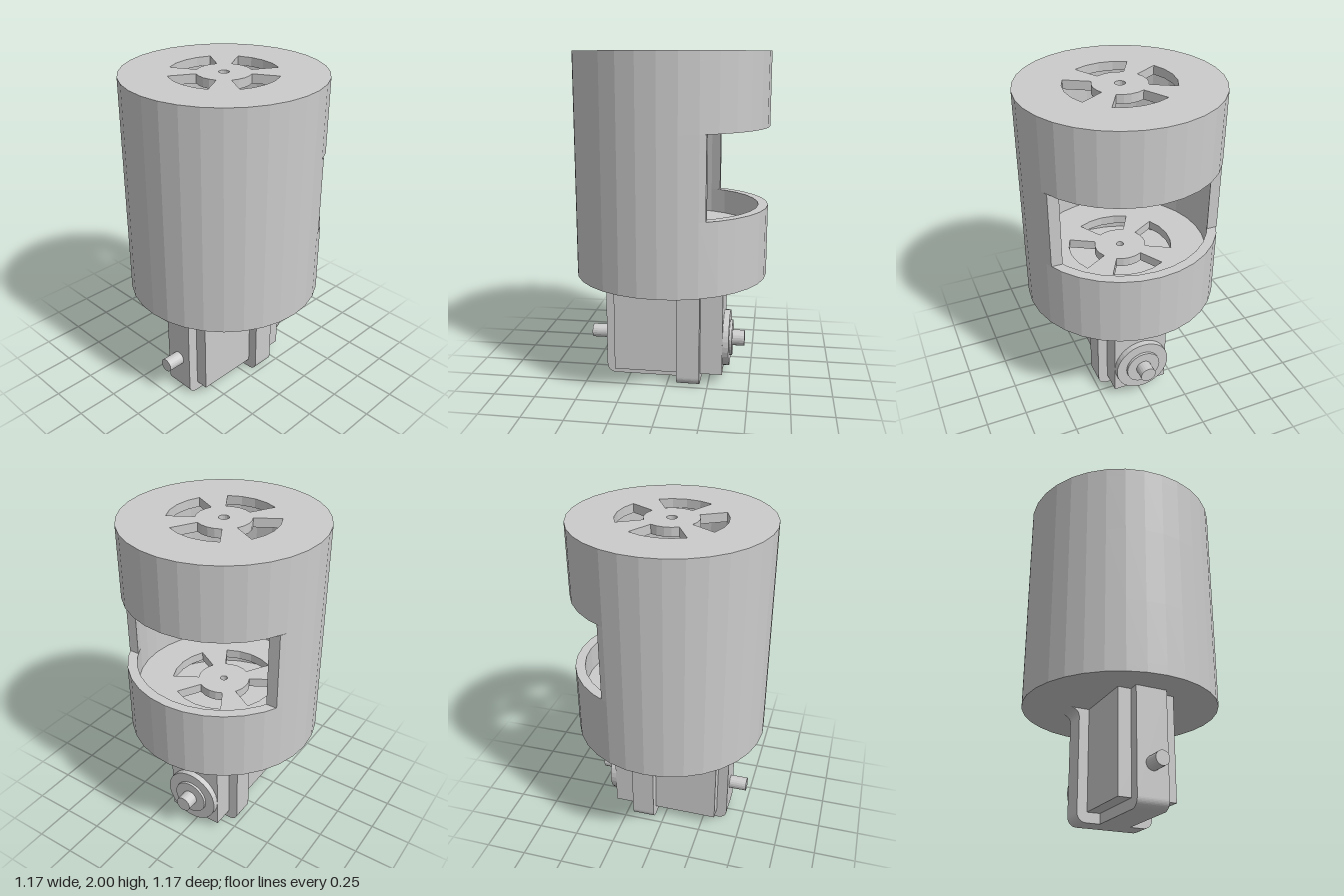
import * as THREE from 'three';

const R = 0.583, RI = 0.525, SIDES = 32;
const material = new THREE.MeshStandardMaterial({ color: 0xcccccc, flatShading: true });

// Arc of points snapped to a regular polygon, plus its two exact ends
function arc(r, a0, a1, sides = SIDES) {
  const step = (2 * Math.PI) / sides, pts = [];
  const at = (a) => pts.push(new THREE.Vector2(r * Math.cos(a), r * Math.sin(a)));
  at(a0);
  for (let i = Math.floor(a0 / step + 1e-4) + 1; i * step < a1 - 1e-4; i++) at(i * step);
  at(a1);
  return pts;
}
const circle = (r, sides = SIDES) => arc(r, 0, 2 * Math.PI, sides).slice(0, -1);

export function createModel() {
  const model = new THREE.Group();

  const add = (name, geometry, x = 0, y = 0, z = 0) => {
    const mesh = new THREE.Mesh(geometry, material);
    mesh.name = name;
    mesh.position.set(x, y, z);
    model.add(mesh);
    return mesh;
  };
  const extrude = (shape, depth) =>
    new THREE.ExtrudeGeometry(shape, { depth, bevelEnabled: false, curveSegments: 6 });

  // Horizontal layer between two heights; shape y points to the back
  const layer = (name, points, holes, y0, y1) => {
    const shape = new THREE.Shape(points);
    holes.forEach((h) => shape.holes.push(new THREE.Path(h)));
    add(name, extrude(shape, y1 - y0).rotateX(-Math.PI / 2), 0, y0, 0);
  };

  // Four fan-shaped vents and a centre hole
  const vents = (holeRadius) => {
    const holes = [circle(holeRadius, 16)];
    for (let i = 0; i < 4; i++) {
      const mid = (i + 1) * Math.PI / 2, a0 = mid - Math.PI / 6, a1 = mid + Math.PI / 6;
      holes.push([...arc(0.315, a0, a1, 24), ...arc(0.157, a0, a1, 24).reverse()]);
    }
    return holes;
  };

  // Hollow drum
  layer('drumBottom', circle(R), [], 0.67, 0.725);
  layer('lowerWall', circle(R), [circle(RI)], 0.725, 1.1);
  layer('innerFloor', circle(RI), vents(0.022), 0.89, 0.946);
  layer('upperWall', circle(R), [circle(RI)], 1.57, 1.947);
  layer('drumLid', circle(R), vents(0.03), 1.947, 2);

  // Middle wall, cut open at the back by a flat plane
  const cut = 0.26, ao = Math.asin(cut / R), ai = Math.asin(cut / RI);
  layer('windowWall', [
    ...arc(R, Math.PI - ao, 2 * Math.PI + ao),
    ...arc(RI, Math.PI - ai, 2 * Math.PI + ai).reverse(),
  ], [], 1.1, 1.57);

  // Drive housing under the drum
  add('housing', new THREE.BoxGeometry(0.348, 0.61, 0.67), 0, 0.365, 0);

  // Cross band: rounded at the foot, flared where it meets the drum
  const w = 0.235, c = 0.055, top = 0.67;
  const band = new THREE.Shape();
  band.moveTo(-w + c, 0);
  band.lineTo(w - c, 0);
  band.absarc(w - c, c, c, -Math.PI / 2, 0, false);
  band.lineTo(w, top - c);
  band.absarc(w + c, top - c, c, Math.PI, Math.PI / 2, true);
  band.lineTo(-w - c, top);
  band.absarc(-w - c, top - c, c, Math.PI / 2, 0, true);
  band.lineTo(-w, c);
  band.absarc(-w + c, c, c, Math.PI, Math.PI * 1.5, false);
  add('crossBand', extrude(band, 0.14), 0, 0, -0.2);

  // Strap along the foot and up the front, drawn in (z, y)
  const strap = new THREE.Shape();
  strap.moveTo(-0.19, 0);
  strap.lineTo(0.4 - c, 0);
  strap.absarc(0.4 - c, c, c, -Math.PI / 2, 0, false);
  strap.lineTo(0.4, top);
  strap.lineTo(0.335, top);
  strap.lineTo(0.335, 0.06);
  strap.lineTo(-0.19, 0.06);
  add('frontStrap', extrude(strap, 0.19).rotateY(-Math.PI / 2), 0.095, 0, 0);

  // Round parts on the drive axis
  const axle = (name, r, z0, z1, sides) =>
    add(name, new THREE.CylinderGeometry(r, r, z1 - z0, sides).rotateX(Math.PI / 2),
      0, 0.24, (z0 + z1) / 2);
  axle('frontPin', 0.042, 0.39, 0.508, 20);
  axle('backDisc', 0.174, -0.372, -0.33, 32);
  axle('backCollar', 0.11, -0.388, -0.36, 32);
  axle('backShaft', 0.049, -0.463, -0.38, 20);

  return model;
}
